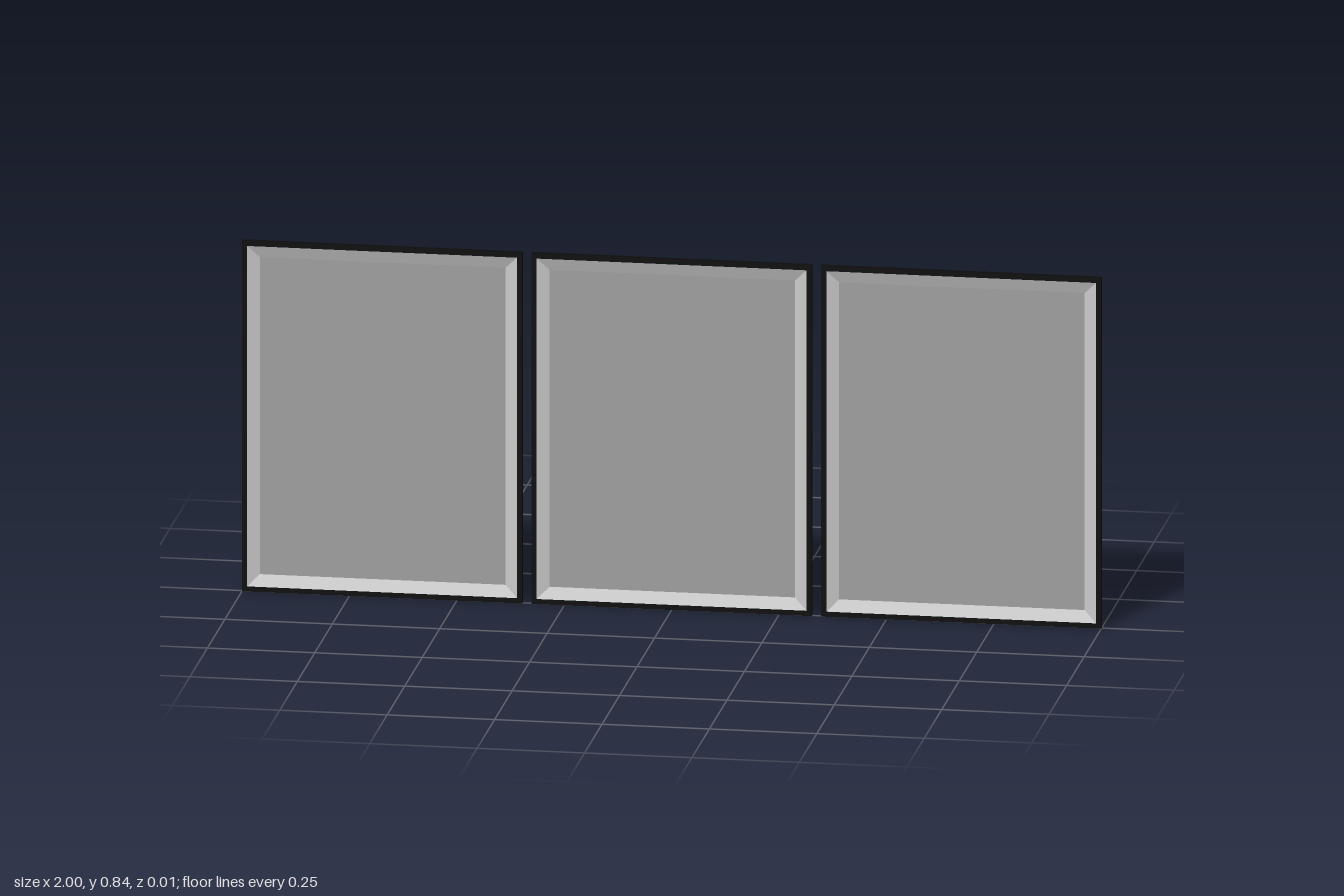
import * as THREE from 'three';

const W = 0.652, H = 0.836, D = 0.013; // one framed picture
const RIM = 0.012;                     // width of the dark frame
const MAT = 0.04;                      // picture inset from the outer edge
const PITCH = 0.674;

const grey = new THREE.MeshStandardMaterial({ color: 0xcccccc });
const black = new THREE.MeshStandardMaterial({ color: 0x0c0c0c });
const dark = new THREE.MeshStandardMaterial({ color: 0xa2a2a2 });

// Counter-clockwise corners of the panel, moved inwards by inset
function corners(inset) {
  const x = W / 2 - inset, y = H / 2 - inset;
  return [[-x, -y], [x, -y], [x, y], [-x, y]];
}

// Four mitred strips running from an outer rectangle to a deeper inner one
function slopedBorder(outerInset, outerZ, innerInset, innerZ) {
  const a = corners(outerInset), b = corners(innerInset), pos = [];
  for (let i = 0; i < 4; i++) {
    const j = (i + 1) % 4;
    const p = [...a[i], outerZ], q = [...a[j], outerZ];
    const r = [...b[j], innerZ], s = [...b[i], innerZ];
    pos.push(...p, ...q, ...r, ...p, ...r, ...s);
  }
  const g = new THREE.BufferGeometry();
  g.setAttribute('position', new THREE.Float32BufferAttribute(pos, 3));
  g.computeVertexNormals();
  return g;
}

function add(parent, name, geometry, material, z = 0) {
  const mesh = new THREE.Mesh(geometry, material);
  mesh.name = name;
  mesh.position.z = z;
  parent.add(mesh);
  return mesh;
}

function framedPicture() {
  const g = new THREE.Group();

  // Thin dark frame with an open middle
  const shape = new THREE.Shape(corners(0).map(c => new THREE.Vector2(...c)));
  shape.holes.push(new THREE.Path(corners(RIM).reverse().map(c => new THREE.Vector2(...c))));
  add(g, 'frame', new THREE.ExtrudeGeometry(shape, { depth: D, bevelEnabled: false }), black, -D / 2);

  // Bevelled mount sloping in to the picture
  add(g, 'mount', slopedBorder(RIM, 0.0055, MAT, -0.004), grey);
  add(g, 'picture', new THREE.PlaneGeometry(W - 2 * MAT, H - 2 * MAT), dark, -0.004);

  // Backing board, nearly flush with the rear of the frame
  const back = add(g, 'backing', new THREE.PlaneGeometry(W - 2 * RIM, H - 2 * RIM), grey, -0.006);
  back.rotation.y = Math.PI;
  return g;
}

export function createModel() {
  const model = new THREE.Group();
  model.name = 'pictureTriptych';
  ['rightPicture', 'middlePicture', 'leftPicture'].forEach((name, i) => {
    const p = framedPicture();
    p.name = name;
    p.position.set((i - 1) * PITCH, H / 2, 0);
    model.add(p);
  });
  return model;
}
